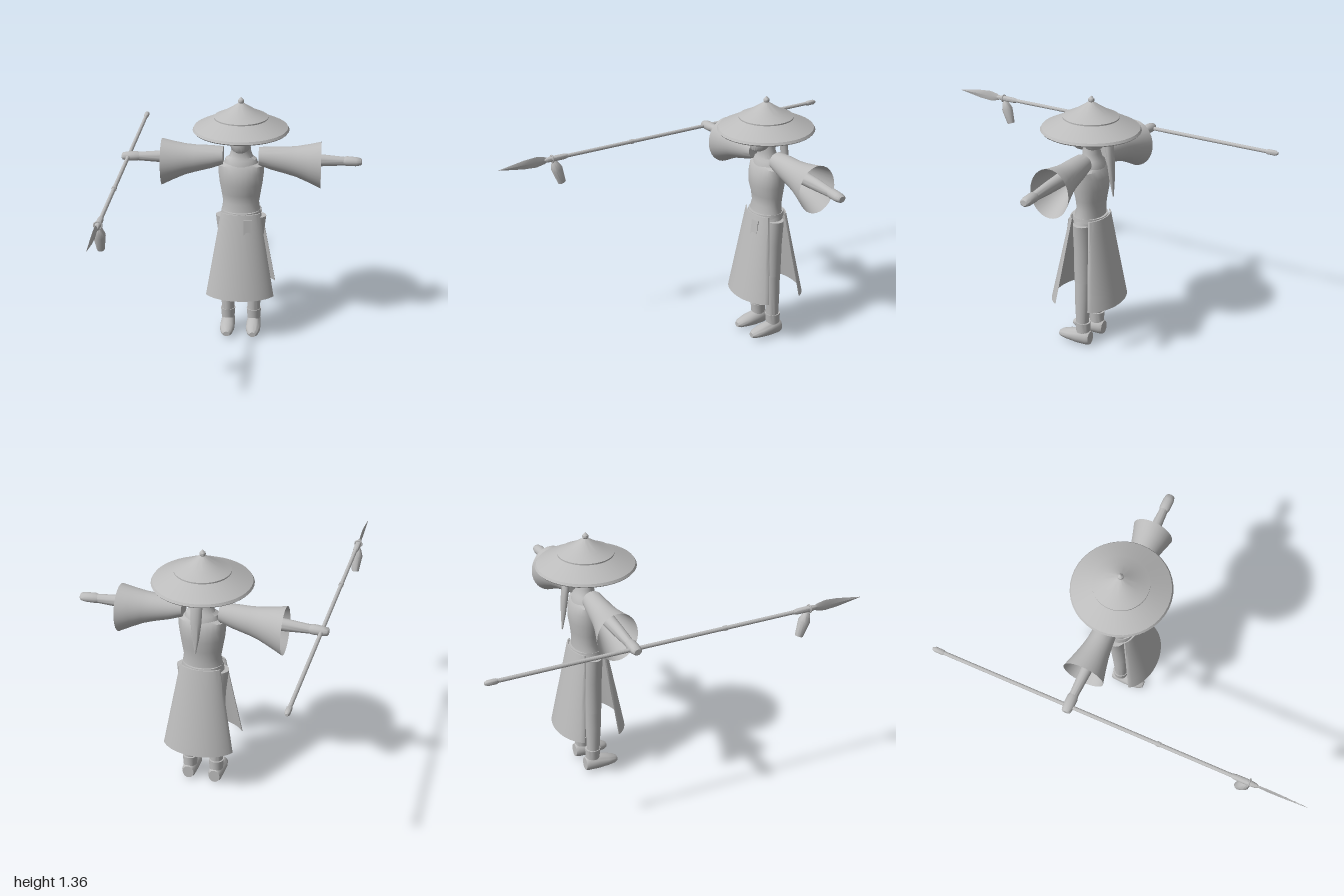
import * as THREE from 'three';
import { toCreasedNormals } from 'three/addons/utils/BufferGeometryUtils.js';

const CZ = -0.245; // depth of the figure's centre line

// Loft elliptical rings along an axis. Ring: [position, centre1, centre2, radius1, radius2]
// axis y: 1 = z, 2 = x | axis x: 1 = y, 2 = z | axis z: 1 = x, 2 = y
function loft(axis, rings, capStart = true, capEnd = true, seg = 24) {
  const place = {
    y: (p, a, b) => [b, p, a],
    x: (p, a, b) => [p, a, b],
    z: (p, a, b) => [a, b, p],
  }[axis];
  const pos = [], idx = [], n = rings.length;
  const flip = rings[n - 1][0] < rings[0][0];
  const tri = (a, b, c) => (flip ? idx.push(a, c, b) : idx.push(a, b, c));
  rings.forEach(([p, c1, c2, r1, r2]) => {
    for (let j = 0; j < seg; j++) {
      const t = (j / seg) * Math.PI * 2;
      pos.push(...place(p, c1 + r1 * Math.cos(t), c2 + r2 * Math.sin(t)));
    }
  });
  for (let i = 0; i < n - 1; i++) for (let j = 0; j < seg; j++) {
    const a = i * seg + j, b = i * seg + (j + 1) % seg;
    tri(a, b, a + seg);
    tri(b, b + seg, a + seg);
  }
  const cap = (i, end) => {
    const [p, c1, c2] = rings[i], c = pos.length / 3;
    pos.push(...place(p, c1, c2));
    for (let j = 0; j < seg; j++) {
      const a = i * seg + j, b = i * seg + (j + 1) % seg;
      if (end) tri(a, b, c); else tri(b, a, c);
    }
  };
  if (capStart) cap(0, false);
  if (capEnd) cap(n - 1, true);
  const g = new THREE.BufferGeometry();
  g.setAttribute('position', new THREE.Float32BufferAttribute(pos, 3));
  g.setIndex(idx);
  return toCreasedNormals(g, 0.7);
}

// Curved skirt panel, wider and further out at the hem
function skirtPanel() {
  const g = new THREE.BoxGeometry(2, 1, 0.008, 20, 6, 1), p = g.attributes.position;
  const mix = THREE.MathUtils.lerp;
  for (let i = 0; i < p.count; i++) {
    const u = p.getX(i), k = 0.5 - p.getY(i), a = u * 1.15;
    const bow = (Math.cos(a) - Math.cos(1.15)) / (1 - Math.cos(1.15));
    p.setXYZ(i, mix(0.105, 0.185, k) * Math.sin(a) / Math.sin(1.15), mix(0.722, 0.256, k),
      mix(mix(0.052, 0.1, k), mix(0.088, 0.182, k), bow) + p.getZ(i));
  }
  return toCreasedNormals(g, 0.7);
}

export function createModel() {
  const model = new THREE.Group();
  model.name = 'strawHatFigure';
  const grey = new THREE.MeshStandardMaterial({ color: 0xbcbcbc, side: THREE.DoubleSide });
  grey.name = 'plain grey';
  const add = (name, geometry, x = 0, y = 0, z = 0, parent = model) => {
    const m = new THREE.Mesh(geometry, grey);
    m.name = name;
    m.position.set(x, y, z);
    parent.add(m);
    return m;
  };
  const lathe = (pts, seg = 40) =>
    toCreasedNormals(new THREE.LatheGeometry(pts.map(([r, y]) => new THREE.Vector2(r, y)), seg), 0.3);

  // Hat: thin shell, raised crown ring and pointed knob
  add('hat', lathe([[0, 1.3], [0.12, 1.243], [0.235, 1.18], [0.25, 1.174], [0.255, 1.18], [0.248, 1.192],
    [0.143, 1.243], [0.143, 1.25], [0.09, 1.275], [0.045, 1.303], [0.012, 1.325], [0, 1.326]]), 0, 0, CZ + 0.005);
  add('hatKnob', lathe([[0.008, 1.315], [0.016, 1.33], [0.015, 1.34], [0.006, 1.35], [0, 1.356]], 16), 0, 0, CZ + 0.005);

  // Head, hair and neck
  add('head', loft('y', [[1.072, -0.19, 0, 0.03, 0.028], [1.082, -0.195, 0, 0.044, 0.045], [1.11, -0.21, 0, 0.062, 0.06],
    [1.15, -0.22, 0, 0.074, 0.07], [1.2, -0.225, 0, 0.078, 0.075], [1.25, -0.235, 0, 0.06, 0.058]]));
  add('hair', loft('y', [[1.09, -0.265, 0, 0.038, 0.055], [1.11, -0.262, 0, 0.05, 0.072],
    [1.17, -0.258, 0, 0.06, 0.08], [1.24, -0.25, 0, 0.05, 0.06]]));
  add('ponytail', loft('y', [[0.845, -0.376, 0, 0.003, 0.003], [0.93, -0.368, 0, 0.012, 0.018], [1.02, -0.36, 0, 0.017, 0.028],
    [1.1, -0.35, 0, 0.018, 0.03], [1.16, -0.332, 0, 0.022, 0.026], [1.185, -0.305, 0, 0.024, 0.02]], true, true, 14));
  add('neck', loft('y', [[0.985, -0.25, 0, 0.065, 0.092], [1.015, -0.25, 0, 0.058, 0.084], [1.027, -0.25, 0, 0.05, 0.064],
    [1.06, -0.247, 0, 0.044, 0.053], [1.11, -0.24, 0, 0.042, 0.048]]));

  // Torso down to the hips
  add('torso', loft('y', [[0.66, CZ, 0, 0.062, 0.118], [0.69, CZ, 0, 0.078, 0.113], [0.72, CZ, 0, 0.075, 0.105],
    [0.77, -0.25, 0, 0.068, 0.097], [0.82, -0.25, 0, 0.073, 0.105], [0.88, -0.247, 0, 0.086, 0.115],
    [0.94, -0.25, 0, 0.082, 0.122], [0.98, -0.25, 0, 0.068, 0.123], [0.992, -0.25, 0, 0.06, 0.095]]));
  add('waistBand', loft('y', [[0.705, CZ, 0, 0.089, 0.108], [0.727, CZ, 0, 0.087, 0.105]]));

  // Front and back skirt panels
  const panel = skirtPanel();
  add('frontSkirtPanel', panel, 0, 0, CZ);
  add('backSkirtPanel', panel, 0, 0, CZ).rotation.y = Math.PI;
  const sash = add('sashEnd', new THREE.BoxGeometry(0.046, 0.096, 0.008), 0.043, 0.648, -0.145);
  sash.rotation.set(-0.12, 0.2, 0);

  for (const [side, s] of [['left', 1], ['right', -1]]) {
    const part = (p) => side + p;

    // Eye
    add(part('Eye'), new THREE.BoxGeometry(0.022, 0.004, 0.006), s * 0.028, 1.15, -0.153).rotation.y = s * 0.4;

    // Sleeve open at the cuff, arm and hand
    add(part('Sleeve'), loft('x', [[0.095, 1.028, -0.25, 0.048, 0.052], [0.16, 1.018, -0.252, 0.062, 0.058],
      [0.25, 1.006, -0.254, 0.075, 0.066], [0.3, 1.0, -0.256, 0.085, 0.075], [0.36, 0.991, -0.259, 0.104, 0.09],
      [0.425, 0.981, -0.262, 0.127, 0.108]].map(([x, ...r]) => [s * x, ...r]), true, false, 32));
    add(part('Arm'), loft('x', [[0.1, 1.015, -0.252, 0.042, 0.042], [0.3, 1.012, -0.253, 0.037, 0.034],
      [0.43, 1.011, -0.255, 0.032, 0.028], [0.55, 1.009, -0.256, 0.023, 0.022]].map(([x, ...r]) => [s * x, ...r])));
    add(part('Hand'), loft('x', [[0.535, 1.009, -0.256, 0.019, 0.02], [0.56, 1.01, -0.256, 0.026, 0.028],
      [0.61, 1.008, -0.256, 0.024, 0.028], [0.635, 1.008, -0.256, 0.019, 0.023],
      [0.64, 1.008, -0.256, 0.014, 0.017]].map(([x, ...r]) => [s * x, ...r]), true, true, 14));

    // Leg, ankle cuff and shoe
    add(part('Thigh'), loft('y', [[0.365, CZ, s * 0.07, 0.045, 0.042], [0.55, CZ, s * 0.068, 0.049, 0.052],
      [0.65, CZ, s * 0.07, 0.051, 0.062], [0.692, CZ, s * 0.072, 0.05, 0.065]]));
    add(part('Shin'), loft('y', [[0.07, -0.247, s * 0.072, 0.032, 0.032], [0.13, -0.247, s * 0.072, 0.034, 0.035],
      [0.27, -0.245, s * 0.072, 0.041, 0.038], [0.38, CZ, s * 0.07, 0.043, 0.04]]));
    add(part('AnkleCuff'), loft('y', [[0.075, -0.252, s * 0.072, 0.038, 0.036], [0.13, -0.25, s * 0.072, 0.041, 0.04]]));
    add(part('Shoe'), loft('z', [[-0.295, s * 0.072, 0.042, 0.03, 0.036], [-0.28, s * 0.072, 0.044, 0.037, 0.042],
      [-0.22, s * 0.072, 0.041, 0.04, 0.041], [-0.17, s * 0.072, 0.037, 0.04, 0.032],
      [-0.13, s * 0.072, 0.032, 0.031, 0.023], [-0.112, s * 0.072, 0.029, 0.018, 0.014]]));
  }

  // Spear held along z in the right hand
  const spear = new THREE.Group();
  spear.name = 'spear';
  spear.position.set(-0.605, 1.008, 0);
  model.add(spear);
  const rod = (name, rings) =>
    add(name, loft('z', rings.map(([z, r]) => [z, 0, 0, r, r]), true, true, 14), 0, 0, 0, spear);
  rod('shaft', [[-0.96, 0.01], [0.7, 0.01]]);
  rod('buttCap', [[-1, 0.007], [-0.985, 0.014], [-0.945, 0.014], [-0.935, 0.01]]);
  rod('shaftRing', [[0.215, 0.013], [0.235, 0.013]]);
  rod('socket', [[0.61, 0.011], [0.63, 0.015], [0.7, 0.016], [0.735, 0.012], [0.745, 0.006]]);
  add('blade', loft('z', [[0.72, 0, 0, 0.006, 0.009], [0.745, 0, 0, 0.006, 0.02], [0.79, 0, 0, 0.006, 0.029],
    [0.86, 0, 0, 0.005, 0.024], [1, 0, 0, 0.001, 0.001]], true, true, 4), 0, 0, 0, spear);
  add('tasselRing', new THREE.TorusGeometry(0.019, 0.004, 8, 20), 0, 0, 0.7, spear);

  // Tassel hanging from the socket
  const tassel = add('tassel', loft('y', [[-0.135, 0, 0, 0.022, 0.019], [-0.05, 0, 0, 0.031, 0.031],
    [-0.015, 0, 0, 0.019, 0.02], [0, 0, 0, 0.01, 0.01]], true, true, 12), 0, -0.012, 0.69, spear);
  tassel.rotation.x = 0.3;
  return model;
}
